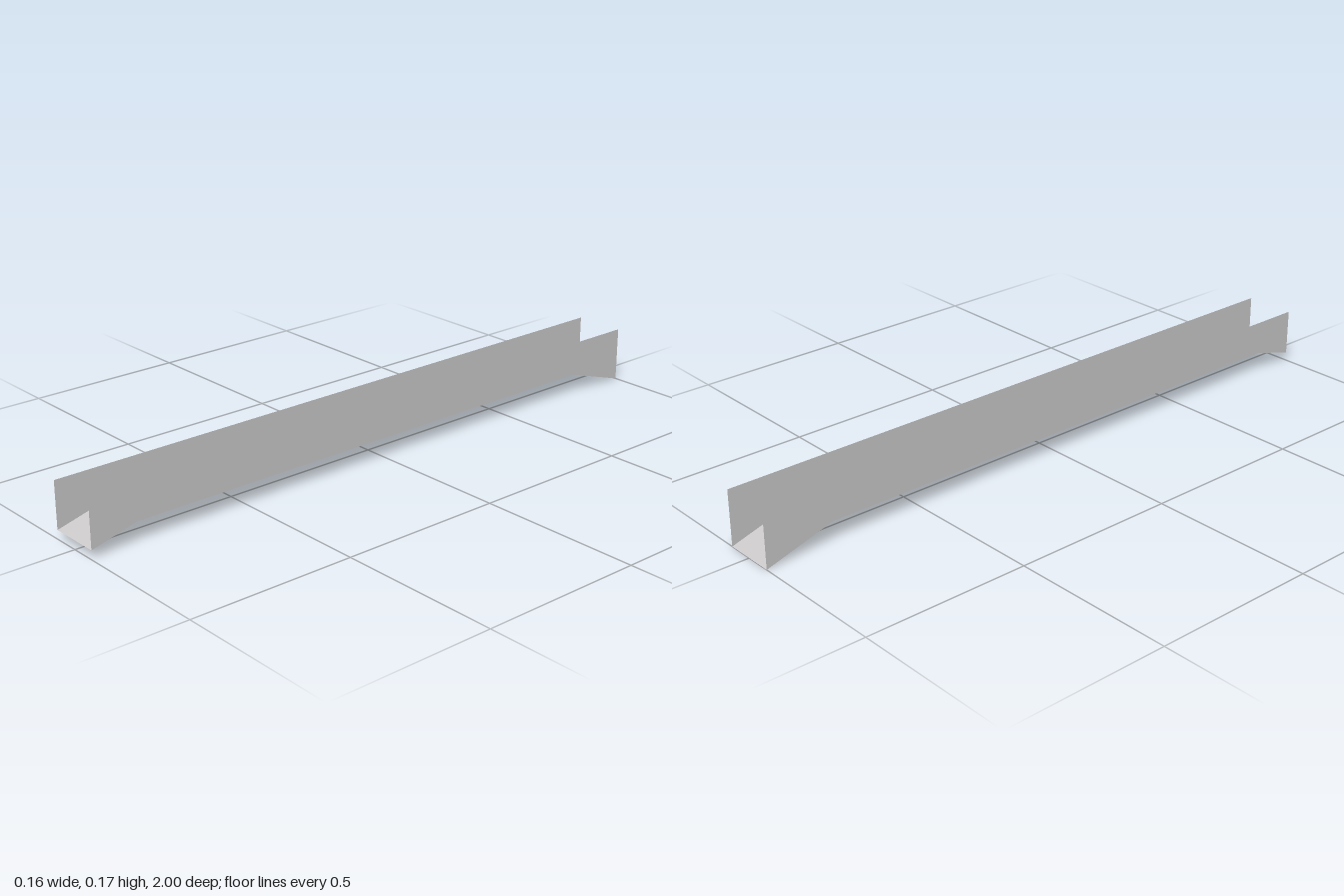
import * as THREE from 'three';

const HALF = 0.08, TOP = 0.168, FLOOR = 0.064, PANEL_TOP = 0.078;
const FRONT_FOLD = 0.86, BACK_FOLD = -0.79, FRONT_LIP = 0.027;
const PANEL = { x: 0.06, front: 0.837, back: -0.775 };

// Flat four-cornered sheet, corners counter-clockwise seen from its front
function quad(a, b, c, d) {
  const g = new THREE.BufferGeometry();
  g.setAttribute('position', new THREE.Float32BufferAttribute([...a, ...b, ...c, ...d], 3));
  g.setIndex([0, 1, 2, 0, 2, 3]);
  g.computeVertexNormals();
  return g;
}

// Horizontal or sloped sheet facing up, between two z stations
const deck = (x, zFront, yFront, zBack, yBack) =>
  quad([-x, yFront, zFront], [x, yFront, zFront], [x, yBack, zBack], [-x, yBack, zBack]);

export function createModel() {
  const model = new THREE.Group();
  model.name = 'chute';
  const metal = new THREE.MeshStandardMaterial({ color: 0xcccaca, side: THREE.DoubleSide });
  metal.name = 'pale grey metal';

  function add(name, geometry, parent = model) {
    const mesh = new THREE.Mesh(geometry, metal);
    mesh.name = name;
    parent.add(mesh);
    return mesh;
  }

  // Side walls: thin sheets following the floor and both ramps
  const profile = [[1, FRONT_LIP], [1, TOP], [-1, TOP], [-1, 0], [BACK_FOLD, FLOOR], [FRONT_FOLD, FLOOR]];
  for (const side of [1, -1]) {
    const shape = new THREE.Shape(profile.map(([z, y]) => new THREE.Vector2(-side * z, y)));
    const wall = new THREE.ShapeGeometry(shape).rotateY(side * Math.PI / 2).translate(side * HALF, 0, 0);
    add(side > 0 ? 'leftWall' : 'rightWall', wall);
  }

  // Floor with an opening under the raised panel
  const rect = (x, front, back) => [[-x, -front], [x, -front], [x, -back], [-x, -back]]
    .map(([px, py]) => new THREE.Vector2(px, py));
  const floor = new THREE.Shape(rect(HALF, FRONT_FOLD, BACK_FOLD));
  floor.holes.push(new THREE.Path(rect(PANEL.x, PANEL.front, PANEL.back).reverse()));
  add('floor', new THREE.ShapeGeometry(floor).rotateX(-Math.PI / 2).translate(0, FLOOR, 0));

  // Sloping ends
  add('frontRamp', deck(HALF, 1, FRONT_LIP, FRONT_FOLD, FLOOR));
  add('backRamp', deck(HALF, BACK_FOLD, FLOOR, -1, 0));

  // Raised panel, hollow underneath
  const panel = new THREE.Group();
  panel.name = 'raisedPanel';
  model.add(panel);
  add('panelTop', deck(PANEL.x, PANEL.front, PANEL_TOP, PANEL.back, PANEL_TOP), panel);
  const corners = rect(PANEL.x, PANEL.front, PANEL.back).map(p => [p.x, -p.y]);
  corners.forEach(([x0, z0], i) => {
    const [x1, z1] = corners[(i + 1) % 4];
    add('panelEdge', quad([x0, FLOOR, z0], [x1, FLOOR, z1], [x1, PANEL_TOP, z1], [x0, PANEL_TOP, z0]), panel);
  });

  return model;
}
